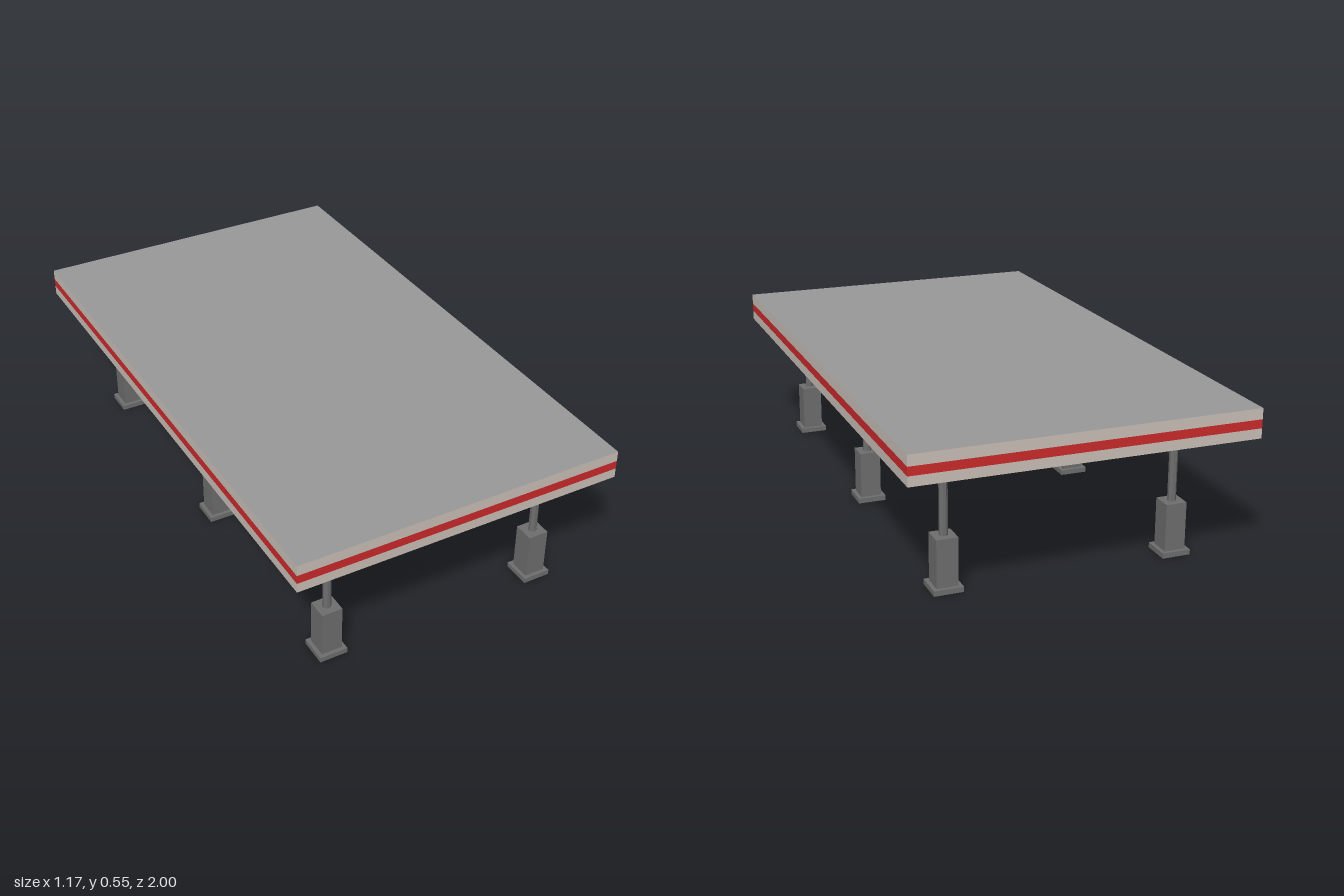
import * as THREE from 'three';

const material = (name, color) => {
  const m = new THREE.MeshStandardMaterial({ color });
  m.name = name;
  return m;
};

export function createModel() {
  const model = new THREE.Group();
  model.name = 'canopy';

  const beige = material('beige fascia', 0xcbc0b8);
  const red = material('red stripe', 0xcc2a2c);
  const roofGrey = material('roof grey', 0x999999);
  const steel = material('column grey', 0x6e6e6e);

  const add = (parent, name, geometry, mat, y) => {
    const mesh = new THREE.Mesh(geometry, mat);
    mesh.name = name;
    mesh.position.y = y;
    parent.add(mesh);
  };

  // Flat roof: stacked layers, flush on all four sides
  const layer = (name, y0, y1, mat) =>
    add(model, name, new THREE.BoxGeometry(1.174, y1 - y0, 2), mat, (y0 + y1) / 2);
  layer('lowerFascia', 0.445, 0.479, beige);
  layer('fasciaStripe', 0.479, 0.509, red);
  layer('upperFascia', 0.509, 0.546, [beige, beige, roofGrey, beige, beige, beige]);

  // Columns: foot plate, square pedestal and slim post
  const plate = new THREE.BoxGeometry(0.1, 0.018, 0.1);
  const pedestal = new THREE.BoxGeometry(0.073, 0.165, 0.073);
  const post = new THREE.CylinderGeometry(0.0146, 0.0146, 0.262, 8, 1, true).toNonIndexed();
  post.rotateY(Math.PI / 8);
  post.computeVertexNormals();

  for (const x of [-0.395, 0.403]) {
    for (const z of [0.84, 0.027, -0.787]) {
      const column = new THREE.Group();
      column.name = 'column';
      column.position.set(x, 0, z);
      add(column, 'footPlate', plate, steel, 0.009);
      add(column, 'pedestal', pedestal, steel, 0.1005);
      add(column, 'post', post, steel, 0.314);
      model.add(column);
    }
  }
  return model;
}
